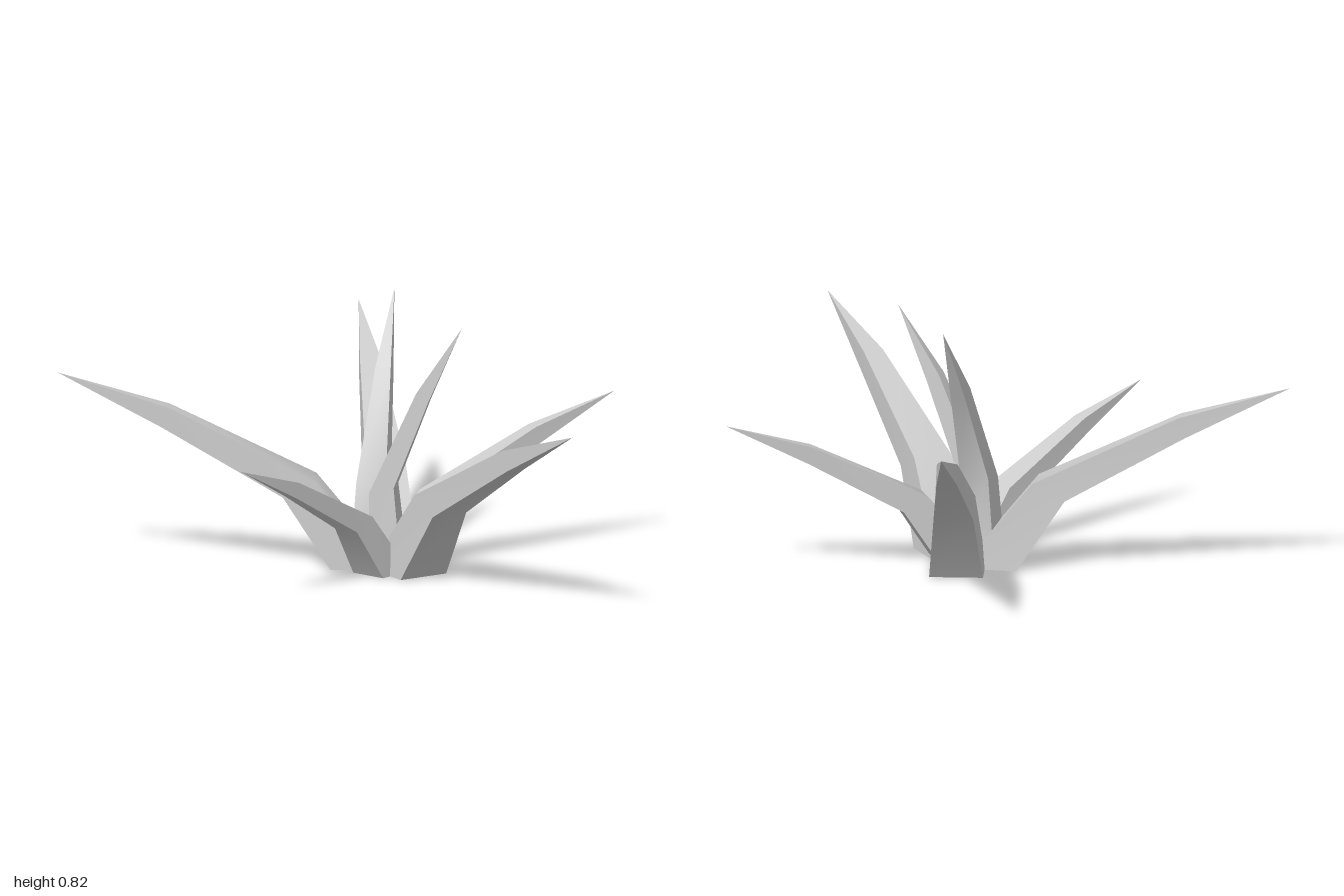
import * as THREE from 'three';
import { toCreasedNormals } from 'three/addons/utils/BufferGeometryUtils.js';

// Leaf profile: outer (underside) and inner (top) points as [reach, height], with half width
const SECTIONS = [
  { outer: [0, 0], inner: [-0.18, 0], half: 0.085 },
  { outer: [0.15, 0.228], inner: [0.046, 0.28], half: 0.063 },
  { outer: [0.53, 0.445], inner: [0.506, 0.508], half: 0.033 },
];
const TIP = [0.86, 0.615, 0];

// Four-sided leaf that bends outward and tapers to a point
function leafGeometry() {
  const rings = SECTIONS.map(({ outer, inner, half }) => [
    [...outer, half], [...outer, -half], [...inner, -half], [...inner, half],
  ]);
  const pos = [];
  const tri = (a, b, c) => pos.push(...a, ...b, ...c);
  rings.forEach((ring, i) => {
    const next = rings[i + 1];
    for (let j = 0; j < 4; j++) {
      const k = (j + 1) % 4;
      if (next) {
        tri(ring[j], ring[k], next[k]);
        tri(ring[j], next[k], next[j]);
      } else {
        tri(ring[j], ring[k], TIP);
      }
    }
  });
  // Closed foot
  const [a, b, c, d] = rings[0];
  tri(a, c, b);
  tri(a, d, c);
  const geometry = new THREE.BufferGeometry();
  geometry.setAttribute('position', new THREE.Float32BufferAttribute(pos, 3));
  return toCreasedNormals(geometry, THREE.MathUtils.degToRad(50));
}

// Each leaf: foot position, the tip it reaches for, and scale
const LEAVES = [
  { name: 'frontLeaf', foot: [0.045, 0, 0.13], tip: [0.043, 0.615, 0.99] },
  { name: 'backLeftLeaf', foot: [0.15, 0, -0.24], tip: [0.54, 0.615, -1] },
  { name: 'backRightLeaf', foot: [-0.1, 0, -0.18], tip: [-0.81, 0.615, -0.66] },
  { name: 'leftLeaf', foot: [0.13, 0, -0.045], tip: [0.81, 0.487, 0.06] },
  { name: 'rightLeaf', foot: [-0.09, 0, 0.02], tip: [-0.685, 0.44, 0.2] },
  { name: 'uprightBackLeaf', foot: [0.04, 0.08, -0.13], tip: [0.23, 0.82, -0.32] },
  { name: 'uprightFrontLeaf', foot: [0.03, 0.09, 0.03], tip: [0.17, 0.79, 0.16] },
];

export function createModel() {
  const plant = new THREE.Group();
  plant.name = 'succulentPlant';
  const geometry = leafGeometry();
  const material = new THREE.MeshStandardMaterial({ color: 0xcccccc });
  const restLength = Math.hypot(TIP[0], TIP[1]);
  const restAngle = Math.atan2(TIP[1], TIP[0]);

  for (const { name, foot, tip } of LEAVES) {
    const [dx, dy, dz] = tip.map((v, i) => v - foot[i]);
    const leaf = new THREE.Mesh(geometry, material);
    leaf.name = name;
    leaf.position.set(...foot);
    // Turn toward the tip, tilt to its slope, scale to its length
    leaf.rotation.y = Math.atan2(-dz, dx);
    leaf.rotation.z = Math.atan2(dy, Math.hypot(dx, dz)) - restAngle;
    // Low leaves keep their feet flat on the ground
    if (foot[1] === 0) leaf.rotation.z = 0;
    leaf.scale.setScalar(Math.hypot(dx, dy, dz) / restLength);
    plant.add(leaf);
  }
  return plant;
}
